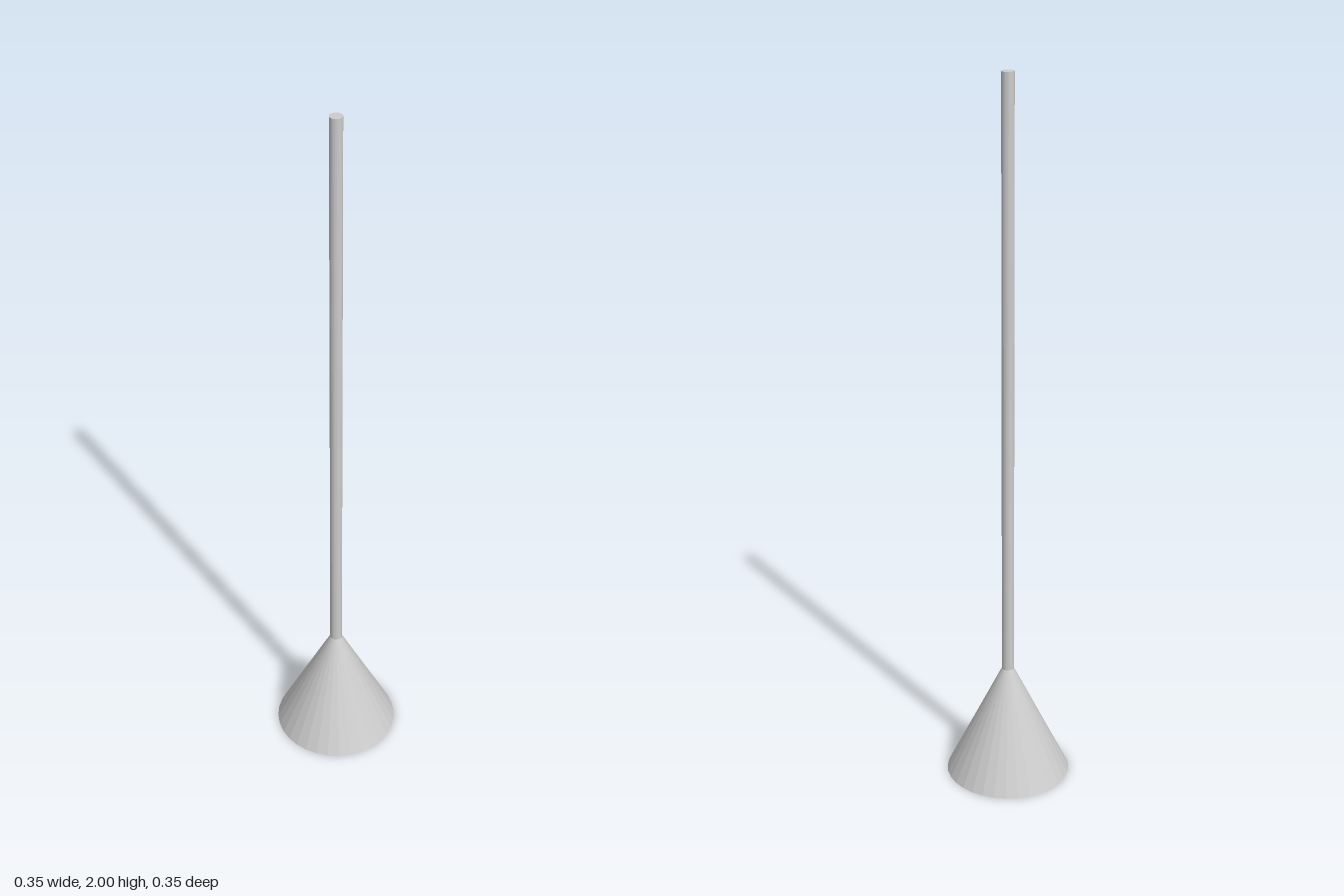
import * as THREE from 'three';

const SIDES = 32;
const BASE_RADIUS = 0.174, BASE_HEIGHT = 0.355;
const ROD_RADIUS = 0.017, ROD_BOTTOM = 0.3, ROD_TOP = 2;

export function createModel() {
  const model = new THREE.Group();
  const material = new THREE.MeshStandardMaterial({ color: 0xcccccc, flatShading: true });

  const addPart = (name, geometry, y) => {
    const mesh = new THREE.Mesh(geometry, material);
    mesh.name = name;
    mesh.position.y = y;
    model.add(mesh);
  };

  // Conical foot, closed underneath
  addPart('coneBase', new THREE.ConeGeometry(BASE_RADIUS, BASE_HEIGHT, SIDES), BASE_HEIGHT / 2);

  // Slender rod rising out of the cone's tip
  const rodLength = ROD_TOP - ROD_BOTTOM;
  addPart('rod', new THREE.CylinderGeometry(ROD_RADIUS, ROD_RADIUS, rodLength, SIDES), ROD_BOTTOM + rodLength / 2);

  return model;
}
